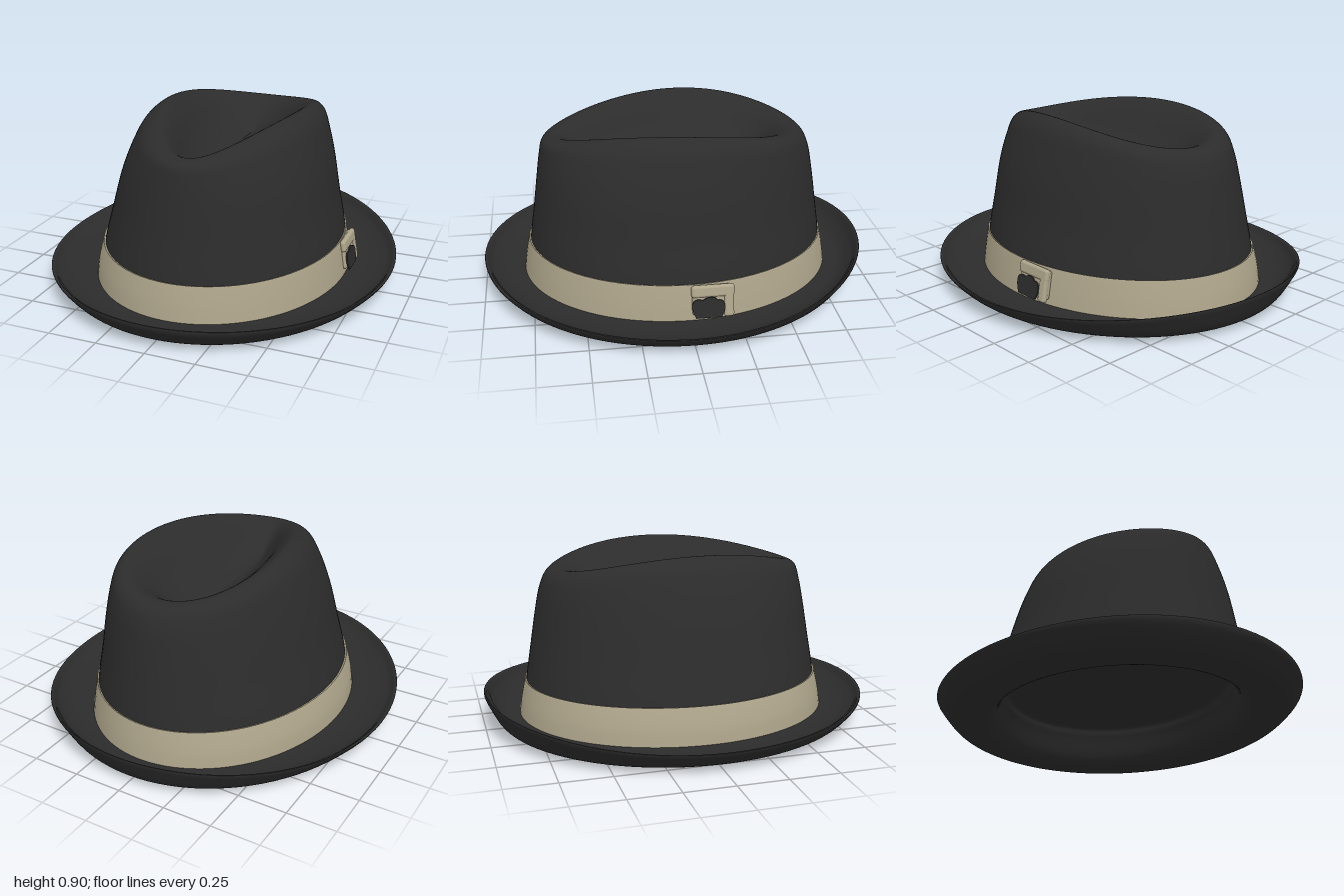
import * as THREE from 'three';
import { RoundedBoxGeometry } from 'three/addons/geometries/RoundedBoxGeometry.js';

const felt = new THREE.MeshStandardMaterial({ color: 0x2c2c2d });
felt.name = 'charcoal felt';
const ribbon = new THREE.MeshStandardMaterial({ color: 0xaea58b });
ribbon.name = 'tan ribbon';

// Smooth skin through oval rings.
// Ring: [half width, y, front reach, back reach, x shift, front pinch, front lift, back lift]
function loft(keys, steps, segments = 96) {
  const column = (a, b, c) => new THREE.CatmullRomCurve3(
    keys.map(k => new THREE.Vector3(k[a] ?? 0, k[b] ?? 0, k[c] ?? 0)), false, 'catmullrom', 0.5);
  const curves = [column(0, 1, 2), column(3, 4, 5), column(6, 7, 8)];
  const positions = [], index = [];
  for (let i = 0; i <= steps; i++) {
    const [p, q, r] = curves.map(c => c.getPoint(i / steps));
    for (let j = 0; j < segments; j++) {
      const angle = (j / segments) * Math.PI * 2;
      const s = Math.sin(angle), c = Math.cos(angle);
      const front = c > 0;
      positions.push(
        q.y + p.x * s * (1 - q.z * c),
        p.y + (front ? r.x : r.y) * c * c,
        c * (front ? p.z : q.x));
      if (i < steps) {
        const a = i * segments + j, b = i * segments + (j + 1) % segments;
        index.push(a, b, b + segments, a, b + segments, a + segments);
      }
    }
  }
  const geometry = new THREE.BufferGeometry();
  geometry.setAttribute('position', new THREE.Float32BufferAttribute(positions, 3));
  geometry.setIndex(index);
  geometry.computeVertexNormals();
  return geometry;
}

function addMesh(parent, name, geometry, material) {
  const mesh = new THREE.Mesh(geometry, material);
  mesh.name = name;
  parent.add(mesh);
  return mesh;
}

export function createModel() {
  const hat = new THREE.Group();
  hat.name = 'hat';

  // Brim with its lining: cavity ceiling, inner wall, underside, curled rim, upper face
  addMesh(hat, 'brim', loft([
    [0, 0.245, 0, 0],
    [0.30, 0.245, 0.36, 0.36],
    [0.52, 0.235, 0.62, 0.63],
    [0.56, 0.18, 0.66, 0.68],
    [0.60, 0.07, 0.71, 0.73],
    [0.66, 0.018, 0.77, 0.79],
    [0.74, 0.012, 0.85, 0.86, 0, 0, 0, 0.005],
    [0.82, 0.04, 0.925, 0.93, 0, 0, 0.005, 0.015],
    [0.88, 0.093, 0.985, 0.985, 0, 0, 0.02, 0.06],
    [0.90, 0.12, 1.0, 1.0, 0, 0, 0.027, 0.072],
    [0.887, 0.122, 0.988, 0.988, 0, 0, 0.026, 0.068],
    [0.85, 0.094, 0.955, 0.955, 0, 0, 0.018, 0.04],
    [0.76, 0.073, 0.88, 0.89, 0, 0, 0.006, 0.012],
    [0.60, 0.07, 0.74, 0.76],
  ], 104), felt);

  // Crown: tapering wall, rounded ridge, then the deep teardrop dent
  addMesh(hat, 'crown', loft([
    [0.635, 0.06, 0.772, 0.80],
    [0.612, 0.25, 0.753, 0.78, 0.007],
    [0.567, 0.44, 0.725, 0.75, 0.013, 0.01],
    [0.525, 0.62, 0.703, 0.723, 0.02, 0.03, -0.02, -0.02],
    [0.475, 0.77, 0.685, 0.697, 0.025, 0.08, -0.05, -0.05],
    [0.425, 0.87, 0.665, 0.66, 0.03, 0.15, -0.075, -0.075],
    [0.35, 0.912, 0.607, 0.597, 0.035, 0.24, -0.093, -0.091],
    [0.27, 0.862, 0.55, 0.53, 0.03, 0.28, -0.068, -0.065],
    [0.17, 0.755, 0.485, 0.46, 0.02, 0.28, -0.01, -0.02],
    [0.07, 0.68, 0.42, 0.40, 0.01, 0.25, 0.02, 0],
    [0, 0.66, 0.37, 0.35, 0, 0.2, 0.03, 0],
  ], 90), felt);

  // Ribbon band, its top edge folding in to the crown
  addMesh(hat, 'hatBand', loft([
    [0.656, 0.06, 0.795, 0.823],
    [0.644, 0.15, 0.782, 0.81],
    [0.623, 0.243, 0.763, 0.79, 0.005],
    [0.617, 0.25, 0.758, 0.785, 0.006],
    [0.60, 0.247, 0.74, 0.767, 0.007],
  ], 24), ribbon);

  // Side bow: a flat ribbon loop with a dark three-lobed knot
  const bow = new THREE.Group();
  bow.name = 'bow';
  bow.position.set(0.638, 0.17, -0.105);
  bow.rotation.z = 0.18;
  hat.add(bow);
  addMesh(bow, 'bowLoop', new RoundedBoxGeometry(0.04, 0.15, 0.2, 3, 0.018), ribbon);
  const fold = addMesh(bow, 'bowFold', new RoundedBoxGeometry(0.03, 0.06, 0.21, 3, 0.014), ribbon);
  fold.position.set(0.012, 0.05, 0);
  const tail = addMesh(bow, 'bowTail', new RoundedBoxGeometry(0.03, 0.15, 0.05, 3, 0.014), ribbon);
  tail.position.set(0.012, -0.01, -0.078);

  const lobes = new THREE.Shape();
  lobes.moveTo(-0.065, -0.07);
  lobes.bezierCurveTo(-0.10, 0, -0.08, 0.04, -0.03, 0.02);
  lobes.bezierCurveTo(-0.01, 0.04, 0.03, 0.04, 0.04, 0.018);
  lobes.bezierCurveTo(0.085, 0.025, 0.085, -0.03, 0.06, -0.07);
  lobes.closePath();
  const knot = addMesh(bow, 'bowKnot', new THREE.ExtrudeGeometry(lobes, {
    depth: 0.008, bevelEnabled: false, curveSegments: 10,
  }), felt);
  knot.rotation.y = Math.PI / 2;
  knot.position.set(0.021, -0.012, 0.02);

  return hat;
}
